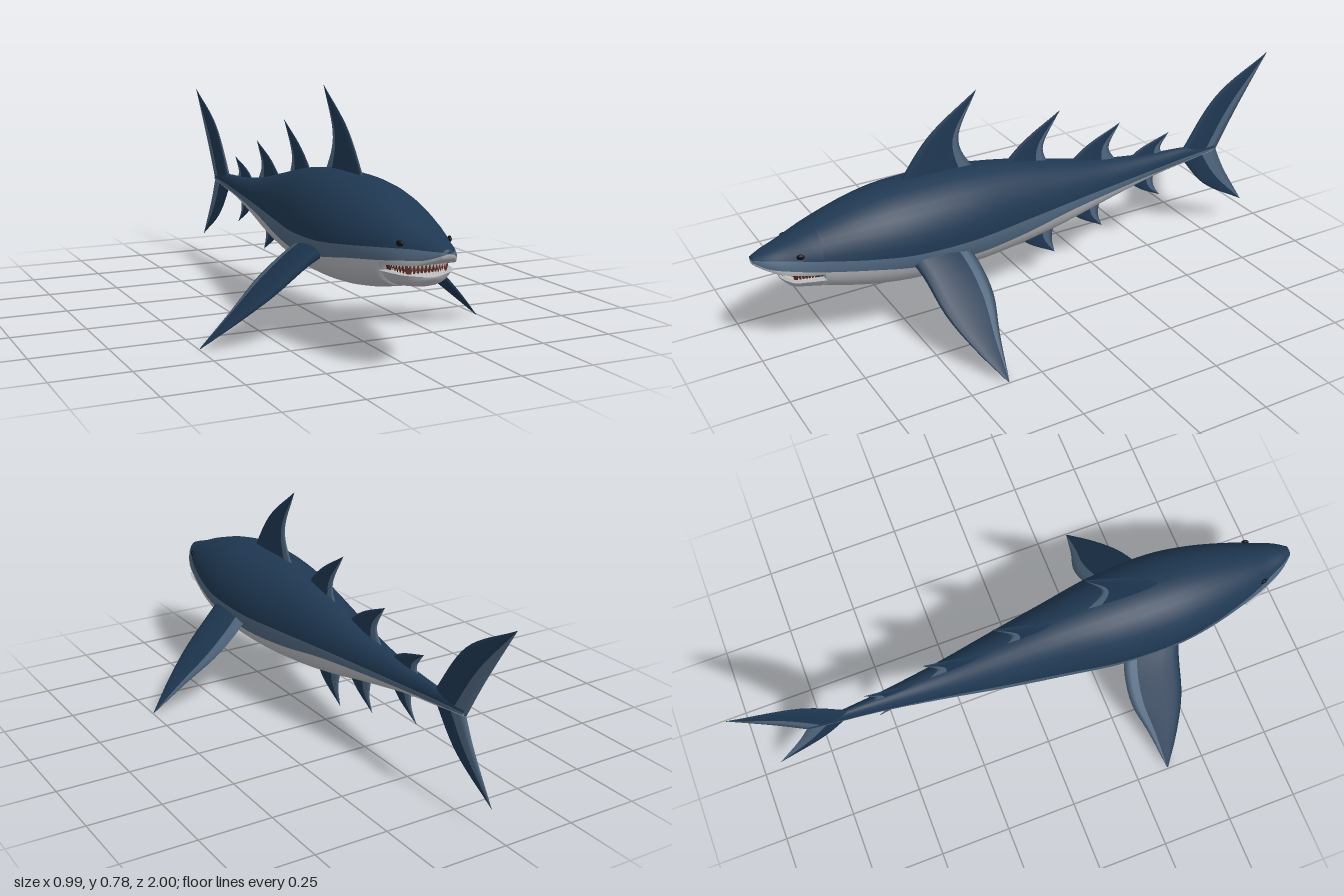
import * as THREE from 'three';

const mat = (name, color) => {
  const m = new THREE.MeshStandardMaterial({ color });
  m.name = name;
  return m;
};

// Closed skin over rings of points; colourOf(column) picks the material index.
function loft(rings, colourOf, materials, name) {
  const n = rings[0].length, pos = [], faces = materials.map(() => []);
  rings.forEach(r => r.forEach(p => pos.push(p.x, p.y, p.z)));
  const last = rings.length - 1;
  const centre = r => {
    const c = new THREE.Vector3();
    r.forEach(p => c.addScaledVector(p, 1 / n));
    pos.push(c.x, c.y, c.z);
    return pos.length / 3 - 1;
  };
  const c0 = centre(rings[0]), c1 = centre(rings[last]);
  for (let j = 0; j < n; j++) {
    const k = (j + 1) % n, f = faces[colourOf(j)];
    for (let i = 0; i < last; i++) {
      const a = i * n + j, b = i * n + k;
      f.push(a, a + n, b, b, a + n, b + n);
    }
    f.push(c0, j, k, c1, last * n + k, last * n + j);
  }
  // Turn the skin outward when its signed volume is negative
  const at = i => new THREE.Vector3().fromArray(pos, i * 3);
  let volume = 0;
  faces.forEach(f => {
    for (let i = 0; i < f.length; i += 3) volume += at(f[i]).dot(at(f[i + 1]).cross(at(f[i + 2])));
  });
  if (volume < 0) faces.forEach(f => f.reverse());
  const g = new THREE.BufferGeometry();
  g.setAttribute('position', new THREE.Float32BufferAttribute(pos, 3));
  g.setIndex(faces.flat());
  let start = 0;
  faces.forEach((f, i) => { g.addGroup(start, f.length, i); start += f.length; });
  g.computeVertexNormals();
  const mesh = new THREE.Mesh(g, materials);
  mesh.name = name;
  return mesh;
}

// Body stations: z, top, bottom, half width, back/flank line, flank/belly line
const STATIONS = [
  [1.0, .392, .368, .018, .386, .378],
  [.96, .406, .325, .05, .385, .36],
  [.9, .425, .272, .08, .382, .35],
  [.8, .462, .25, .113, .372, .335],
  [.65, .505, .215, .15, .355, .315],
  [.5, .526, .195, .168, .34, .29],
  [.3, .525, .187, .16, .332, .27],
  [.1, .5, .195, .128, .332, .275],
  [-.1, .455, .222, .097, .335, .3],
  [-.3, .41, .262, .063, .335, .31],
  [-.5, .384, .298, .034, .337, .318],
  [-.65, .373, .315, .018, .342, .325],
  [-.78, .352, .33, .006, .343, .336],
];
const smooth = pts => new THREE.CatmullRomCurve3(pts, false, 'catmullrom', 0.5);
const curveA = smooth(STATIONS.map(s => new THREE.Vector3(s[0], s[1], s[2])));
const curveB = smooth(STATIONS.map(s => new THREE.Vector3(s[3], s[4], s[5])));
const BELLY = 8, FLANK = 3, BACK = 9, HALF = BELLY + FLANK + BACK;

// Cross-section from the keel up the left side, over the back and down the right
function section(u) {
  const { x: z, y: top, z: bottom } = curveA.getPoint(u);
  const { x: w, y: y1, z: y2 } = curveB.getPoint(u);
  const mid = top * .45 + bottom * .55;
  const angle = y => Math.asin(THREE.MathUtils.clamp((y - mid) / (y > mid ? top - mid : mid - bottom), -.97, .97));
  const a1 = angle(y1), a2 = angle(y2), q = Math.PI / 2;
  const ring = [];
  for (let j = 0; j < HALF * 2; j++) {
    const k = j <= HALF ? j : HALF * 2 - j;
    const a = k <= BELLY ? THREE.MathUtils.lerp(-q, a2, k / BELLY)
      : k <= BELLY + FLANK ? THREE.MathUtils.lerp(a2, a1, (k - BELLY) / FLANK)
        : THREE.MathUtils.lerp(a1, q, (k - BELLY - FLANK) / BACK);
    const c = Math.max(0, Math.cos(a));
    const x = w * (a < 0 ? Math.pow(c, .8) : c) * (j <= HALF ? 1 : -1);
    ring.push(new THREE.Vector3(x, mid + Math.sin(a) * (a > 0 ? top - mid : mid - bottom), z));
  }
  return ring;
}
const bodyColour = j => {
  const k = j < HALF ? j : HALF * 2 - 1 - j;
  return k < BELLY ? 2 : k < BELLY + FLANK ? 1 : 0;
};

// Fin between a leading and a trailing edge, thickened along a normal
function fin(name, lead, trail, normal, thick, split, materials) {
  const a = smooth(lead), b = smooth(trail), rings = [];
  const fs = [0, .05, .2, .45, .75, 1].map(f => f * split).concat((1 + split) / 2, 1);
  const count = 16;
  for (let i = 0; i <= count; i++) {
    const s = i / count, p = a.getPoint(s), q = b.getPoint(s);
    const t = thick * (1 - s) + .0012;
    const side = (f, sign) => p.clone().lerp(q, f)
      .addScaledVector(normal, sign * t * 2.4 * Math.sqrt(f) * (1 - f));
    rings.push([...fs.map(f => side(f, 1)), ...fs.slice(1, -1).reverse().map(f => side(f, -1))]);
  }
  const total = 2 * fs.length - 2;
  return loft(rings, j => (Math.min(j, total - 1 - j) >= 5 ? 1 : 0), materials, name);
}

// Upright fin in the middle plane from [z, y] points: front root, front middle, tip, rear middle, rear root
function uprightFin(name, points, thick, split, materials) {
  const [f0, f1, tip, r1, r0] = points.map(([z, y]) => new THREE.Vector3(0, y, z));
  return fin(name, [f0, f1, tip], [r0, r1, tip], new THREE.Vector3(1, 0, 0), thick, split, materials);
}

export function createModel() {
  const group = new THREE.Group();
  const back = mat('back blue', 0x1f3852), flank = mat('flank blue', 0x50677f);
  const belly = mat('belly grey', 0xb6b9be), tooth = mat('tooth ivory', 0xdcd6ca);
  const gum = mat('mouth red', 0x61302c), black = mat('eye black', 0x0b1016);
  const finSkin = [back, flank];

  // Body, with the palate cut flat ahead of the jaw hinge at u = 0.25
  const us = Array.from({ length: 65 }, (_, i) => i / 64);
  us.splice(16, 0, .2499);
  const rings = us.map(u => section(u).map(p => {
    if (u < .25) p.y = Math.max(p.y, .325 + Math.max(0, p.z - .82) * .12 + Math.max(0, p.z - .93) * .3);
    return p;
  }));
  group.add(loft(rings, bodyColour, [back, flank, belly], 'body'));

  // Lower jaw, rounded at the chin
  const jaw = [];
  for (let i = 0; i <= 14; i++) {
    const k = Math.sqrt(Math.min(1, (i + .3) / 4));
    jaw.push(section(.147 + .104 * i / 14).map(p =>
      new THREE.Vector3(p.x * k, .298 + (Math.min(p.y, .306) - .298) * k, p.z)));
  }
  group.add(loft(jaw, () => 0, [belly], 'lowerJaw'));

  // Mouth lining
  const lining = [.18, .2, .22, .24, .26].map(u => section(u).map(p =>
    new THREE.Vector3(p.x * .8, THREE.MathUtils.clamp(p.y, .295, .345), p.z)));
  group.add(loft(lining, () => 0, [gum], 'mouthLining'));

  // Two rows of teeth round the mouth
  const teeth = new THREE.Group();
  teeth.name = 'teeth';
  const cone = new THREE.ConeGeometry(.0045, .016, 5);
  for (let i = 0; i < 25; i++) {
    const a = (i / 24 - .5) * Math.PI;
    for (const s of [1, -1]) {
      const t = new THREE.Mesh(cone, tooth);
      t.name = s > 0 ? 'upperTooth' : 'lowerTooth';
      const r = s > 0 ? 1 : .95;
      t.position.set(.088 * r * Math.sin(a), s > 0 ? .326 : .31, .83 + .078 * r * Math.cos(a));
      if (s > 0) t.rotation.x = Math.PI;
      teeth.add(t);
    }
  }
  group.add(teeth);

  // Fins along the back
  const upright = (name, points, thick, split) => group.add(uprightFin(name, points, thick, split, finSkin));
  upright('dorsalFin', [[.52, .48], [.385, .655], [.206, .784], [.275, .62], [.2, .47]], .011, .8);
  upright('secondDorsalFin', [[.15, .45], [.035, .555], [-.11, .64], [-.045, .525], [-.07, .44]], .008, .75);
  upright('thirdDorsalFin', [[-.12, .41], [-.225, .483], [-.356, .538], [-.313, .457], [-.345, .395]], .007, .72);
  upright('fourthDorsalFin', [[-.38, .375], [-.455, .418], [-.57, .452], [-.536, .4], [-.56, .36]], .006, .72);

  // Fins under the belly
  upright('frontKeelFin', [[.08, .24], [.018, .16], [-.094, .094], [-.083, .165], [-.105, .25]], .007, .65);
  upright('middleKeelFin', [[-.12, .275], [-.19, .205], [-.292, .147], [-.275, .205], [-.29, .285]], .006, .65);
  upright('rearKeelFin', [[-.39, .31], [-.45, .255], [-.543, .206], [-.513, .255], [-.51, .315]], .005, .65);

  // Tail
  upright('upperTailFin', [[-.62, .345], [-.775, .55], [-.998, .677], [-.87, .475], [-.785, .325]], .011, .66);
  upright('lowerTailFin', [[-.62, .35], [-.745, .2], [-.928, .088], [-.835, .24], [-.785, .345]], .009, .55);

  // Paired fins and eyes
  const eye = new THREE.SphereGeometry(1, 16, 12);
  for (const s of [1, -1]) {
    const v = pts => pts.map(([x, y, z]) => new THREE.Vector3(x * s, y, z));
    group.add(fin(s > 0 ? 'leftPectoralFin' : 'rightPectoralFin',
      v([[.11, .33, .54], [.19, .275, .51], [.3, .178, .485], [.4, .09, .435], [.495, .004, .37]]),
      v([[.11, .33, .33], [.19, .265, .305], [.28, .19, .302], [.38, .104, .335], [.495, .004, .365]]),
      new THREE.Vector3(.66 * s, .75, 0), .028, .78, finSkin));
    const e = new THREE.Mesh(eye, black);
    e.name = s > 0 ? 'leftEye' : 'rightEye';
    e.scale.set(.006, .009, .013);
    e.position.set(.081 * s, .393, .868);
    e.rotation.y = -.35 * s;
    group.add(e);
  }
  return group;
}
